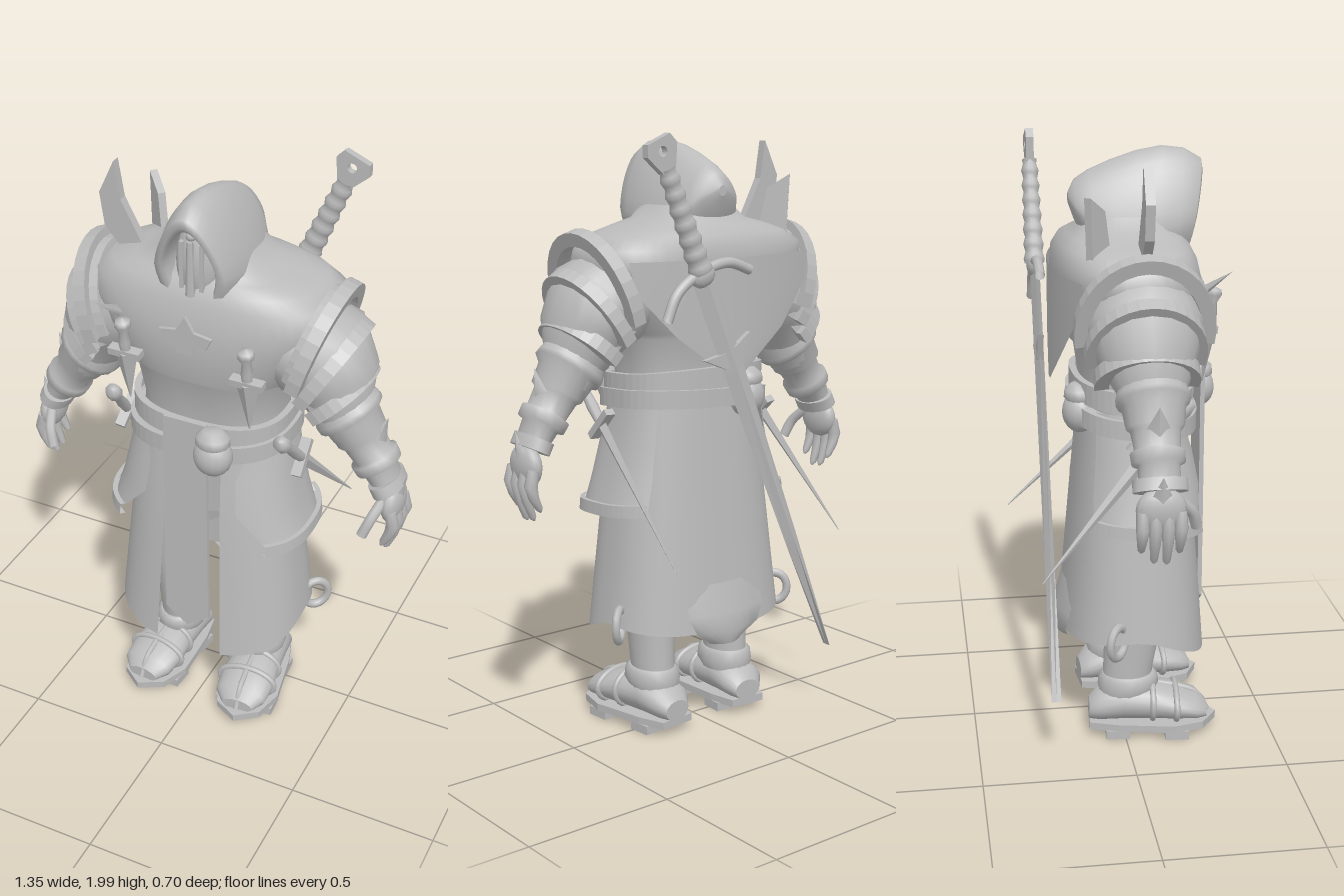
import * as THREE from 'three';

const stone = new THREE.MeshStandardMaterial({ color: 0xbbbbbb, side: THREE.DoubleSide });
stone.name = 'stone grey';
const V = (x, y, z) => new THREE.Vector3(x, y, z);

function add(parent, name, geo, pos = [0, 0, 0], scale = [1, 1, 1], rot = [0, 0, 0]) {
  const m = new THREE.Mesh(geo, stone);
  m.name = name;
  m.position.set(...pos); m.scale.set(...scale); m.rotation.set(...rot);
  parent.add(m);
  return m;
}

// Skin a row of cross-sections; closed joins each section into a ring
function loft(rings, { closed = true, cap = false, flat = false } = {}) {
  const n = rings[0].length, pos = [], idx = [];
  rings.forEach(r => r.forEach(p => pos.push(p.x, p.y, p.z)));
  for (let i = 0; i < rings.length - 1; i++)
    for (let j = 0; j < (closed ? n : n - 1); j++) {
      const a = i * n + j, b = i * n + (j + 1) % n;
      idx.push(a, b, a + n, b, b + n, a + n);
    }
  if (cap) [rings[0], rings[rings.length - 1]].forEach((r, e) => {
    const start = pos.length / 3, c = V(0, 0, 0);
    r.forEach(p => { pos.push(p.x, p.y, p.z); c.addScaledVector(p, 1 / n); });
    pos.push(c.x, c.y, c.z);
    for (let j = 0; j < n; j++) {
      const a = start + j, b = start + (j + 1) % n;
      e ? idx.push(a, b, start + n) : idx.push(b, a, start + n);
    }
  });
  let g = new THREE.BufferGeometry();
  g.setAttribute('position', new THREE.Float32BufferAttribute(pos, 3));
  g.setIndex(idx);
  if (flat) g = g.toNonIndexed();
  g.computeVertexNormals();
  return g;
}

// Boxy horizontal arc of the body; angle 0 is the front
function bodyArc(y, rx, zf, zb, from = 0, to = Math.PI * 2, n = 48, power = 2.6) {
  const mid = (zf + zb) / 2, rz = (zf - zb) / 2;
  const sp = v => Math.sign(v) * Math.abs(v) ** (2 / power);
  return Array.from({ length: n }, (_, i) => {
    const t = from + (to - from) * i / (Math.abs(to - from) > 6.28 ? n : n - 1);
    return V(rx * sp(Math.sin(t)), typeof y === 'function' ? y(t) : y, mid + rz * sp(Math.cos(t)));
  });
}

// Limb from stations [x, y, z, radius in the xy plane, radius in z]
function limb(st, n = 18) {
  return loft(st.map((s, k) => {
    const a = st[Math.max(0, k - 1)], b = st[Math.min(st.length - 1, k + 1)];
    const d = V(b[0] - a[0], b[1] - a[1], 0).normalize();
    return Array.from({ length: n }, (_, j) => {
      const t = j / n * Math.PI * 2, c = Math.cos(t) * s[3];
      return V(s[0] - d.y * c, s[1] + d.x * c, s[2] + Math.sin(t) * s[4]);
    });
  }), { cap: true });
}

// Arched plate over the shoulder; section is [along axis, radial offset] corners
function arch(cx, cy, tx, ty, rz, section, sweep = 1.75) {
  const p = V(tx - cx, ty - cy, 0), r = p.length();
  p.normalize();
  const a = V(p.y, -p.x, 0);
  return loft(Array.from({ length: 19 }, (_, i) => {
    const t = -sweep + 2 * sweep * i / 18;
    return section.map(([u, h]) => V(cx, cy, 0.04).addScaledVector(a, u)
      .addScaledVector(p, (r + h) * Math.cos(t)).add(V(0, 0, (rz + h) * Math.sin(t))));
  }), { cap: true, flat: true });
}

function tube(points, r, closed = false) {
  return new THREE.TubeGeometry(new THREE.CatmullRomCurve3(points.map(p => V(...p)), closed), 32, r, 8, closed);
}
const lathe = (pts, n = 14) => new THREE.LatheGeometry(pts.map(p => new THREE.Vector2(...p)), n);
function plate(pts, depth = 0.02, hole) {
  const s = new THREE.Shape(pts.map(p => new THREE.Vector2(...p)));
  if (hole) s.holes.push(new THREE.Path().absarc(...hole, 0, Math.PI * 2));
  return new THREE.ExtrudeGeometry(s, { depth, bevelEnabled: false });
}

// Blade with hilt, running from pommel to tip; spin turns the guard about the blade
function dagger(parent, name, pommel, tip, w, hilt, guard, spin = 0) {
  const g = new THREE.Group(), up = V(...pommel).sub(V(...tip)), L = up.length();
  g.name = name;
  g.position.set(...tip);
  g.quaternion.setFromUnitVectors(V(0, 1, 0), up.normalize());
  g.rotateY(spin);
  const b = L - hilt;
  add(g, 'daggerBlade', loft([[0, 0.002], [b * 0.8, w * 0.8], [b, w]].map(([y, r]) =>
    [V(r, y, 0), V(0, y, r * 0.6), V(-r, y, 0), V(0, y, -r * 0.6)]), { cap: true, flat: true }));
  add(g, 'daggerGuard', new THREE.BoxGeometry(guard, 0.024, 0.035), [0, b, 0]);
  add(g, 'daggerGrip', lathe([[0.016, b], [0.02, b + hilt * 0.3], [0.015, b + hilt * 0.6], [0.028, b + hilt * 0.8], [0.024, L - 0.01], [0, L]], 8));
  parent.add(g);
}

function buildArm() {
  const arm = new THREE.Group();
  add(arm, 'sleeve', limb([[0.26, 1.5, 0.04, 0.15, 0.17], [0.36, 1.45, 0.04, 0.17, 0.185], [0.41, 1.37, 0.04, 0.14, 0.155], [0.44, 1.28, 0.05, 0.1, 0.11], [0.49, 1.2, 0.05, 0.08, 0.09]]));
  // Three overlapping shoulder plates, each with a raised rim
  [[0.36, 1.45, 0.43, 1.675, 0.205, 0.05], [0.38, 1.38, 0.485, 1.55, 0.175, 0.09], [0.41, 1.31, 0.515, 1.405, 0.15, 0.09]].forEach(([cx, cy, tx, ty, rz, back]) => {
    add(arm, 'shoulderPlate', arch(cx, cy, tx, ty, rz, [[-back, -0.02], [0, -0.01], [0, -0.03], [-back, -0.04]]));
    add(arm, 'shoulderRim', arch(cx, cy, tx, ty, rz, [[-0.02, -0.03], [-0.025, 0.015], [0.02, 0.015], [0.02, -0.03]]));
  });
  add(arm, 'bracer', limb([[0.425, 1.31, 0.05, 0.1, 0.1], [0.455, 1.265, 0.05, 0.115, 0.115], [0.47, 1.25, 0.05, 0.115, 0.115], [0.475, 1.24, 0.05, 0.09, 0.1],
    [0.51, 1.185, 0.05, 0.085, 0.09], [0.515, 1.175, 0.05, 0.07, 0.078], [0.55, 1.125, 0.05, 0.064, 0.07], [0.553, 1.12, 0.05, 0.08, 0.085], [0.572, 1.09, 0.05, 0.078, 0.082], [0.575, 1.085, 0.05, 0.058, 0.065], [0.61, 1.03, 0.05, 0.045, 0.065]]));
  add(arm, 'elbowSpike', new THREE.ConeGeometry(0.03, 0.1, 4), [0.578, 1.225, 0.05], [1, 1, 1.6], [0, 0, -0.3]);
  add(arm, 'wristSpike', new THREE.ConeGeometry(0.025, 0.1, 4), [0.655, 1.03, 0.05], [0.8, 1, 1.8], [0, 0, -0.25]);
  add(arm, 'wristBand', limb([[0.597, 1.05, 0.05, 0.055, 0.085], [0.615, 1.015, 0.05, 0.055, 0.085]]));
  add(arm, 'palm', new THREE.SphereGeometry(1, 16, 12), [0.63, 0.965, 0.05], [0.036, 0.07, 0.078]);
  for (let i = 0; i < 4; i++) {
    const z = 0.108 - i * 0.039, e = [0.83, 0.795, 0.8, 0.835][i];
    add(arm, 'finger', limb([[0.64, 0.96, z, 0.02, 0.019], [0.652, 0.91, z, 0.023, 0.021], [0.642, (e + 0.91) / 2, z, 0.018, 0.017], [0.622, e, z, 0.012, 0.012], [0.616, e - 0.012, z, 0.003, 0.003]], 8));
  }
  add(arm, 'thumb', tube([[0.61, 0.99, 0.1], [0.59, 0.94, 0.15], [0.57, 0.885, 0.17]], 0.018));
  return arm;
}

function buildLeg() {
  const leg = new THREE.Group();
  add(leg, 'leg', limb([[0.16, 0.95, 0.04, 0.1, 0.11], [0.155, 0.5, 0.04, 0.085, 0.1], [0.155, 0.36, 0.035, 0.075, 0.095], [0.16, 0.24, 0.02, 0.07, 0.085], [0.16, 0.12, 0.01, 0.065, 0.08]]));
  add(leg, 'ankleCuff', limb([[0.16, 0.21, 0.02, 0.072, 0.088], [0.16, 0.2, 0.02, 0.085, 0.1], [0.16, 0.165, 0.02, 0.088, 0.105], [0.16, 0.14, 0.01, 0.08, 0.09]]));
  const foot = new THREE.Group();
  foot.name = 'foot'; foot.position.set(0.165, 0, 0); foot.rotation.y = 0.08;
  const st = [[-0.115, 0.05, 0.11], [-0.08, 0.08, 0.15], [0, 0.085, 0.18], [0.1, 0.09, 0.172], [0.18, 0.1, 0.152], [0.25, 0.09, 0.125], [0.285, 0.055, 0.09]];
  const ring = (z, w, h, k = 1) => Array.from({ length: 20 }, (_, j) => {
    const t = j / 20 * Math.PI * 2;
    return V(Math.cos(t) * w * k, (h + 0.05) / 2 + Math.sin(t) * (h - 0.04) / 2 * k, z);
  });
  add(foot, 'shoe', loft(st.map(s => ring(...s)), { cap: true }));
  [st[3], st[4]].forEach(s => add(foot, 'sandalStrap', tube(ring(...s, 1.02).map(p => [p.x, p.y, p.z]), 0.01, true)));
  add(foot, 'toeStrap', tube([[0, 0.168, 0.1], [0, 0.153, 0.18], [0, 0.126, 0.25], [0, 0.06, 0.292]], 0.01));
  const outline = [[-0.065, 0.115], [-0.09, 0.02], [-0.112, -0.17], [-0.08, -0.27], [0, -0.32], [0.08, -0.27], [0.112, -0.17], [0.09, 0.02], [0.065, 0.115]];
  add(foot, 'sole', plate(outline, 0.025), [0, 0.028, 0], [1, 1, 1], [-Math.PI / 2, 0, 0]);
  [[0.18, 0.21], [-0.02, 0.18]].forEach(([z, w]) => add(foot, 'soleBlock', new THREE.BoxGeometry(w, 0.03, 0.08), [0, 0.015, z]));
  leg.add(foot);
  return leg;
}

// Side skirt panel, hem band, ring on the hem and chest dagger
function buildSide() {
  const side = new THREE.Group();
  const rows = [[1.15, 0.265, 0.215, -0.14, 0.75], [1.0, 0.29, 0.245, -0.15, 0.45], [0.88, 0.315, 0.27, -0.165, 0.45], [0.78, 0.345, 0.285, -0.175, 0.75]];
  add(side, 'hipPanel', loft(rows.map(([y, rx, f, b, t]) => bodyArc(y, rx, f, b, t, 2.3, 20)), { closed: false }));
  add(side, 'hipPanelHem', loft([[0.8, 0], [0.8, 0.015], [0.76, 0.018], [0.76, 0]].map(([y, o]) =>
    bodyArc(t => y - 0.02 * Math.cos(t), 0.345 + o, 0.285 + o, -0.175 - o, 0.75, 2.3, 20)), { closed: false, flat: true }));
  add(side, 'hemRing', new THREE.TorusGeometry(0.045, 0.014, 8, 20), [0.34, 0.4, -0.04], [1, 1.15, 1], [0, 0.7, 0]);
  dagger(side, 'chestDagger', [0.21, 1.55, 0.285], [0.21, 1.24, 0.25], 0.042, 0.13, 0.11);
  return side;
}

function buildSword() {
  const s = new THREE.Group();
  s.name = 'greatsword';
  s.position.set(-0.4, 0.23, -0.25); s.rotation.z = -0.4;
  add(s, 'swordBlade', loft([[0, 0.002], [0.45, 0.027], [1.1, 0.042], [1.45, 0.046]].map(([y, r]) =>
    [V(r, y, 0), V(0, y, 0.016), V(-r, y, 0), V(0, y, -0.016)]), { cap: true, flat: true }));
  add(s, 'bladeLugs', plate([[-0.1, 1.19], [-0.03, 1.12], [0.03, 1.12], [0.1, 1.19], [0.03, 1.175], [-0.03, 1.175]], 0.02), [0, 0, -0.01]);
  add(s, 'crossguard', tube([[-0.18, 1.37, 0], [-0.11, 1.43, 0], [0, 1.45, 0], [0.11, 1.43, 0], [0.18, 1.37, 0]], 0.017));
  add(s, 'guardBlock', new THREE.SphereGeometry(0.04, 12, 8), [0, 1.44, 0], [1.2, 1, 0.7]);
  const grip = [];
  for (let i = 0; i <= 28; i++) grip.push([0.038 - i * 0.0003 + 0.004 * Math.sin(i * Math.PI / 2), 1.45 + i * 0.0125]);
  add(s, 'swordGrip', lathe(grip), [0, 0, 0], [1, 1, 0.85]);
  add(s, 'pommel', plate([[-0.025, 1.79], [0.025, 1.79], [0.06, 1.86], [0.045, 1.895], [-0.045, 1.895], [-0.06, 1.86]], 0.026, [0, 1.855, 0.016]), [0, 0, -0.013]);
  return s;
}

function mirrored(root, name, build) {
  [[1, 'left'], [-1, 'right']].forEach(([s, side]) => {
    const g = build();
    g.name = side + name; g.scale.x = s;
    root.add(g);
  });
}

export function createModel() {
  const root = new THREE.Group();
  root.name = 'hoodedWarrior';

  // Torso with broad mantle, and the tapering back of the cape
  add(root, 'torso', loft([[1.05, 0.25, 0.2, -0.13], [1.2, 0.24, 0.205, -0.12], [1.34, 0.26, 0.235, -0.14], [1.36, 0.29, 0.255, -0.16], [1.48, 0.37, 0.268, -0.19],
    [1.56, 0.42, 0.262, -0.21], [1.63, 0.41, 0.245, -0.205], [1.67, 0.35, 0.225, -0.185], [1.695, 0.26, 0.205, -0.16], [1.715, 0.18, 0.185, -0.135], [1.76, 0.135, 0.17, -0.1]].map(r => bodyArc(...r))));
  add(root, 'capeBack', loft([[1.6, 0.37], [1.5, 0.35], [1.36, 0.22], [1.22, 0.03]].map(([y, w]) =>
    Array.from({ length: 13 }, (_, i) => { const x = w * (i / 6 - 1); return V(x, y, -0.222 + 0.5 * x * x); })), { closed: false }));

  // Hood: recess, thick edge, then back to a drooping tip [z, half width, centre, up, down]
  add(root, 'hood', loft([[0.175, 0.08, 1.75, 0.13, 0.14], [0.268, 0.085, 1.75, 0.13, 0.14], [0.283, 0.095, 1.75, 0.15, 0.155], [0.274, 0.118, 1.74, 0.185, 0.165], [0.213, 0.134, 1.73, 0.228, 0.16],
    [0.14, 0.143, 1.72, 0.247, 0.15], [0.06, 0.146, 1.71, 0.242, 0.14], [-0.02, 0.137, 1.71, 0.215, 0.12], [-0.09, 0.11, 1.74, 0.155, 0.1], [-0.135, 0.075, 1.785, 0.08, 0.05], [-0.155, 0.015, 1.81, 0.015, 0.02]].map(([z, w, c, u, d]) =>
    Array.from({ length: 32 }, (_, j) => {
      const t = j / 32 * Math.PI * 2, k = Math.cos(t), y = c + k * (k > 0 ? u : d);
      return V(w * Math.sin(t) * (1 - 0.3 * Math.max(0, k)), y, z + (y - 1.92) * 0.2 * Math.max(0, z) / 0.27);
    })), { cap: true }));
  add(root, 'mask', new THREE.SphereGeometry(1, 20, 14), [0, 1.745, 0.175], [0.07, 0.14, 0.055]);
  [-1, 1].forEach(s => add(root, 'maskBar', new THREE.BoxGeometry(0.014, 0.16, 0.02), [s * 0.034, 1.745, 0.215]));
  add(root, 'maskRidge', new THREE.CylinderGeometry(0.01, 0.016, 0.18, 6), [0, 1.745, 0.23]);
  [1.85, 1.64].forEach(y => add(root, 'maskStud', new THREE.SphereGeometry(0.016, 10, 8), [0, y, 0.222]));
  add(root, 'chestCross', plate([[-0.09, 1.54], [-0.03, 1.55], [0, 1.6], [0.03, 1.55], [0.09, 1.54], [0.07, 1.5], [0.03, 1.5], [0.03, 1.47], [-0.03, 1.47], [-0.03, 1.5], [-0.07, 1.5]], 0.015), [0, 0, 0.26]);

  // Long robe, open at the front with an uneven hem
  const hem = t => { const c = Math.cos(t); return c > 0 ? 0.39 - 0.11 * c : 0.39 + 0.03 * c; };
  add(root, 'robeSkirt', loft([0, 0.25, 0.5, 0.75, 1].map(u => bodyArc(t => 1.14 + (hem(t) - 1.14) * u,
    0.25 + 0.085 * u, 0.205 + 0.085 * u ** 0.7, -0.125 - 0.07 * u, 0.27, Math.PI * 2 - 0.27, 48)), { closed: false }));
  add(root, 'backFlap', loft([[0.52, 0.15, -0.185], [0.42, 0.16, -0.21], [0.36, 0.13, -0.22], [0.31, 0.06, -0.205]].map(([y, w, z]) =>
    Array.from({ length: 9 }, (_, i) => V(w * (i / 4 - 1), y, z + 0.03 * (i / 4 - 1) ** 2))), { closed: false }));
  add(root, 'tabard', plate([[-0.075, 1.23], [-0.08, 0.44], [0, 0.38], [0.08, 0.44], [0.075, 1.23]], 0.015), [0, 0, 0.272]);

  // Belts, pouches
  const belt = (name, lo, hi, tilt, o) => add(root, name, loft([[hi, 0], [hi, o], [lo, o], [lo, 0]].map(([y, k]) =>
    bodyArc(t => y + tilt * Math.sin(t) - 0.02 * Math.cos(t), 0.25 + k, 0.225 + k, -0.13 - k)), { flat: true }));
  belt('waistBelt', 1.15, 1.22, 0, 0.022);
  belt('slungBelt', 1.09, 1.15, 0.02, 0.035);
  const pouch = (x, y, z) => {
    add(root, 'pouch', new THREE.SphereGeometry(1, 16, 12), [x, y, z], [0.065, 0.07, 0.058]);
    add(root, 'pouchLid', lathe([[0.045, 0], [0.058, 0.015], [0.055, 0.04], [0.03, 0.06], [0, 0.062]]), [x, y + 0.035, z], [1, 1, 0.9]);
  };
  pouch(0.105, 1.135, 0.295);
  pouch(-0.12, 1.13, -0.135);

  mirrored(root, 'Arm', buildArm);
  mirrored(root, 'Leg', buildLeg);
  mirrored(root, 'Side', buildSide);
  dagger(root, 'leftHipDagger', [0.31, 1.22, 0.25], [0.34, 0.65, -0.345], 0.024, 0.24, 0.13, Math.PI / 2);
  dagger(root, 'rightHipDagger', [-0.31, 1.21, 0.2], [-0.41, 0.65, -0.29], 0.024, 0.24, 0.13, Math.PI / 2);
  root.add(buildSword());

  // Broken blades stuck in the right shoulder
  const shards = new THREE.Group();
  shards.name = 'brokenBlades';
  add(shards, 'shard', plate([[-0.22, 1.63], [-0.3, 1.63], [-0.385, 1.73], [-0.4, 1.84], [-0.345, 1.955], [-0.325, 1.83]], 0.03), [0, 0, 0.035]);
  add(shards, 'shard', plate([[-0.06, 0], [0.04, 0], [0.035, 0.17], [-0.03, 0.23]], 0.025), [-0.25, 1.63, -0.09], [1, 1, 1], [0, -0.75, 0.18]);
  add(shards, 'shard', new THREE.ConeGeometry(0.04, 0.17, 4), [-0.26, 1.56, 0.26], [0.8, 1, 0.6], [0.95, 0, 0.2]);
  root.add(shards);
  return root;
}
